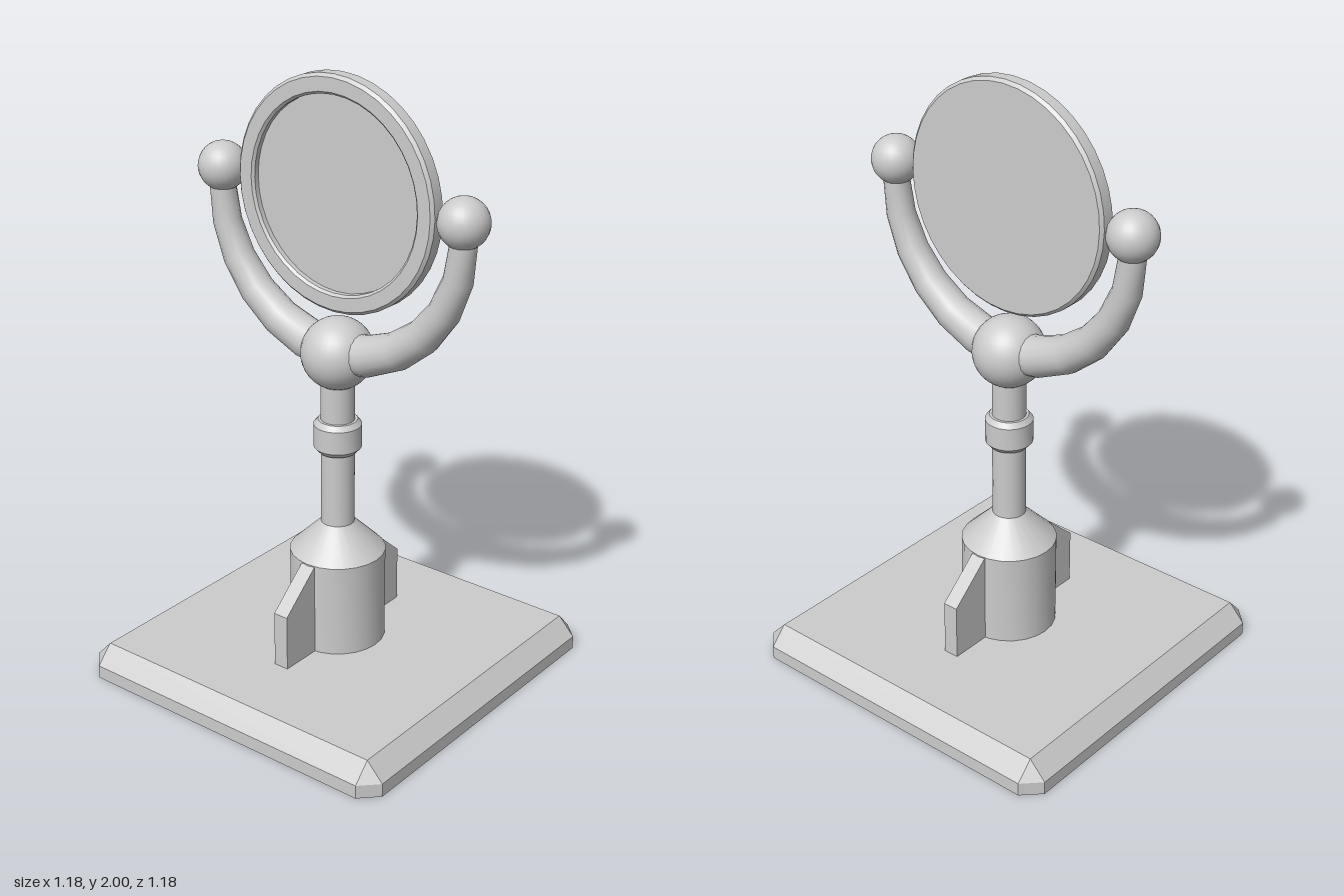
import * as THREE from 'three';
import { toCreasedNormals } from 'three/addons/utils/BufferGeometryUtils.js';

const grey = new THREE.MeshStandardMaterial({ color: 0xcccccc });
const greyDouble = new THREE.MeshStandardMaterial({ color: 0xcccccc, side: THREE.DoubleSide });

function add(parent, name, geometry, material = grey) {
  const mesh = new THREE.Mesh(geometry, material);
  mesh.name = name;
  parent.add(mesh);
  return mesh;
}

function lathe(profile, segments) {
  const points = profile.map(([r, y]) => new THREE.Vector2(r, y));
  return toCreasedNormals(new THREE.LatheGeometry(points, segments), 0.45);
}

// Hollow plate, open below: octagonal skirt bevelled up to a square top
function baseGeometry() {
  const outer = 0.592, inner = 0.535, top = 0.105;
  const ring = (a, b, y) => [[1, 1], [-1, 1], [-1, -1], [1, -1]].flatMap(([sx, sz]) => {
    const pair = [[sx * a, y, sz * b], [sx * b, y, sz * a]];
    return sx * sz > 0 ? pair : pair.reverse();
  });
  const rings = [ring(outer, inner, 0), ring(outer, inner, 0.045), ring(inner, inner, top)];
  const positions = [];
  for (let level = 0; level < 2; level++) {
    const low = rings[level], high = rings[level + 1];
    for (let i = 0; i < 8; i++) {
      const j = (i + 1) % 8;
      // the square top has doubled corners, so corner bevels are triangles
      const cornerBevel = level === 1 && i % 2 === 0;
      if (!cornerBevel) positions.push(...low[i], ...high[i], ...high[j]);
      positions.push(...low[i], ...high[j], ...low[j]);
    }
  }
  const c = rings[2];
  positions.push(...c[0], ...c[4], ...c[2], ...c[0], ...c[6], ...c[4]);
  const geometry = new THREE.BufferGeometry();
  geometry.setAttribute('position', new THREE.Float32BufferAttribute(positions, 3));
  geometry.computeVertexNormals();
  return geometry;
}

// U-shaped tube, thickest in the middle and tapering to both ends
function yokeGeometry() {
  const steps = 12, sides = 16, rMid = 0.071, rEnd = 0.042;
  const arc = new THREE.CatmullRomCurve3(Array.from({ length: 25 }, (_, i) => {
    const a = Math.PI * (1 + i / 24);
    return new THREE.Vector3(0.465 * Math.cos(a), 1.57 + 0.46 * Math.sin(a), 0);
  }));
  const geometry = new THREE.TubeGeometry(arc, steps, 1, sides, false);
  const pos = geometry.attributes.position;
  const p = new THREE.Vector3();
  for (let i = 0; i < pos.count; i++) {
    const t = Math.floor(i / (sides + 1)) / steps;
    const centre = arc.getPointAt(t);
    const radius = THREE.MathUtils.lerp(rMid, rEnd, Math.abs(2 * t - 1));
    p.fromBufferAttribute(pos, i).sub(centre).multiplyScalar(radius).add(centre);
    pos.setXYZ(i, p.x, p.y, p.z);
  }
  return geometry;
}

export function createModel() {
  const model = new THREE.Group();
  model.name = 'tableMirror';

  add(model, 'base', baseGeometry(), greyDouble);

  // Stem: wide foot, cone and slim pole
  add(model, 'stem', lathe([
    [0.157, 0.105], [0.157, 0.42], [0.055, 0.52], [0.055, 1.06],
  ], 24));
  add(model, 'collar', lathe([
    [0.054, 0.77], [0.062, 0.77], [0.078, 0.788], [0.078, 0.865], [0.064, 0.882], [0.054, 0.882],
  ], 24));

  // Fins at the front and back of the foot
  const finShape = new THREE.Shape([
    [0.13, 0.105], [0.295, 0.105], [0.295, 0.293], [0.155, 0.416], [0.13, 0.416],
  ].map(([x, y]) => new THREE.Vector2(x, y)));
  const finGeometry = new THREE.ExtrudeGeometry(finShape, { depth: 0.052, bevelEnabled: false });
  finGeometry.translate(0, 0, -0.026);
  for (const side of [1, -1]) {
    add(model, side > 0 ? 'frontFin' : 'backFin', finGeometry).rotation.y = -side * Math.PI / 2;
  }

  // Yoke with hub and end balls
  add(model, 'yoke', yokeGeometry());
  add(model, 'hubBall', new THREE.SphereGeometry(0.118, 32, 20)).position.y = 1.107;
  for (const side of [1, -1]) {
    add(model, side > 0 ? 'leftBall' : 'rightBall', new THREE.SphereGeometry(0.08, 24, 16))
      .position.set(side * 0.463, 1.63, 0);
  }

  // Round mirror: flat back, bevelled rim, recessed glass
  const mirror = new THREE.Group();
  mirror.name = 'mirror';
  mirror.position.y = 1.625;
  mirror.rotation.x = Math.PI / 2;
  model.add(mirror);
  add(mirror, 'frame', lathe([
    [0, -0.03], [0.365, -0.03], [0.375, -0.02], [0.375, 0.02], [0.365, 0.03],
    [0.32, 0.03], [0.312, 0.022], [0.312, 0.005],
  ], 40));
  const glass = add(mirror, 'glass', new THREE.CircleGeometry(0.312, 40));
  glass.rotation.x = -Math.PI / 2;
  glass.position.y = 0.005;

  return model;
}
